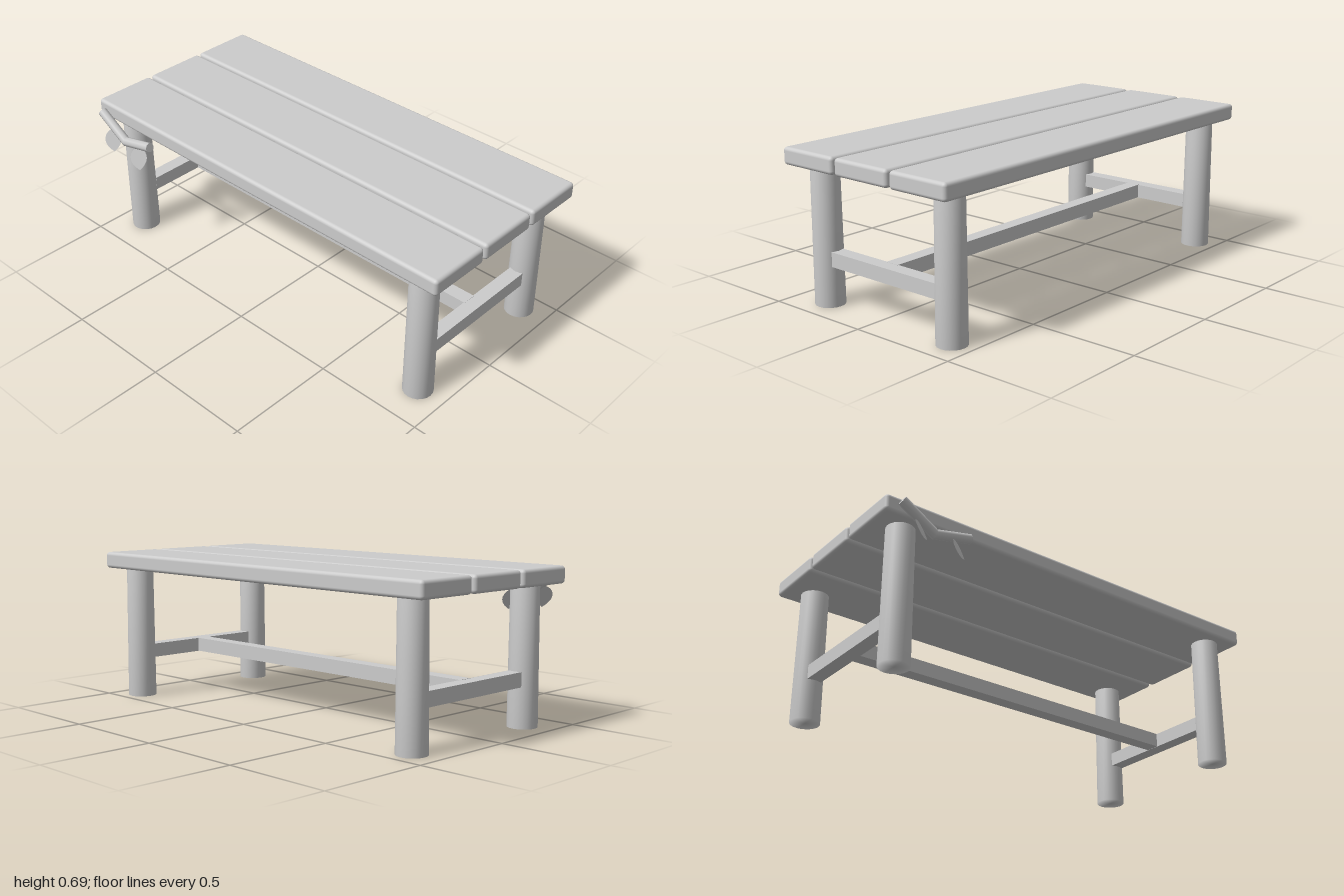
import * as THREE from 'three';
import { mergeVertices } from 'three/addons/utils/BufferGeometryUtils.js';
import { RoundedBoxGeometry } from 'three/addons/geometries/RoundedBoxGeometry.js';

const wood = new THREE.MeshStandardMaterial({ color: 0xcccccc });
wood.name = 'pale wood';
const leafMaterial = new THREE.MeshStandardMaterial({ color: 0xcccccc, side: THREE.DoubleSide });
leafMaterial.name = 'pale leaf';

// Weld all corners so that shading rolls over the rims
function softened(geometry) {
  geometry.deleteAttribute('normal');
  geometry.deleteAttribute('uv');
  const welded = mergeVertices(geometry, 1e-4);
  welded.computeVertexNormals();
  return welded;
}

export function createModel() {
  const group = new THREE.Group();
  const add = (name, geometry, x, y, z, material = wood) => {
    const mesh = new THREE.Mesh(geometry, material);
    mesh.name = name;
    mesh.position.set(x, y, z);
    group.add(mesh);
    return mesh;
  };

  // Table top: three rounded planks
  const plank = new RoundedBoxGeometry(2, 0.076, 0.298, 3, 0.016);
  for (const z of [-0.351, -0.04, 0.271]) add('plank', plank, 0, 0.652, z);

  // Round legs, slightly wider at the foot, with a cross bar at each end
  const leg = softened(new THREE.CylinderGeometry(0.062, 0.066, 0.62, 20));
  const crossBar = new THREE.BoxGeometry(0.065, 0.065, 0.6);
  for (const side of [-1, 1]) {
    add('frontLeg', leg, side * 0.867, 0.31, 0.317);
    add('backLeg', leg, side * 0.867, 0.31, -0.396);
    add('crossBar', crossBar, side * 0.867, 0.213, -0.04);
  }
  add('longStretcher', new THREE.BoxGeometry(1.68, 0.065, 0.065), 0, 0.214, -0.04);

  // Bent twig on the front edge, made of two mitred lengths
  const bend = new THREE.Vector3(-0.785, 0.56, 0.449);
  const ends = [new THREE.Vector3(-0.943, 0.657, 0.449), new THREE.Vector3(-0.614, 0.6, 0.449)];
  const mitre = ends.map((e) => e.clone().sub(bend).normalize());
  const cut = mitre[0].clone().sub(mitre[1]).normalize();
  ends.forEach((end, i) => {
    const dir = mitre[i];
    const geometry = new THREE.CylinderGeometry(0.022, 0.022, end.distanceTo(bend), 8);
    geometry.applyQuaternion(new THREE.Quaternion().setFromUnitVectors(new THREE.Vector3(0, 1, 0), dir));
    const middle = end.clone().add(bend).multiplyScalar(0.5);
    geometry.translate(middle.x, middle.y, middle.z);
    // Slide the inner ring along the twig onto the mitre plane
    const p = geometry.attributes.position;
    const v = new THREE.Vector3();
    for (let k = 0; k < p.count; k++) {
      v.fromBufferAttribute(p, k).sub(bend);
      if (v.dot(dir) > 0.05) continue;
      v.addScaledVector(dir, -v.dot(cut) / dir.dot(cut)).add(bend);
      p.setXYZ(k, v.x, v.y, v.z);
    }
    add('twig', geometry, 0, 0, 0);
  });

  // Two hanging leaves, turned and tilted outward
  const shape = new THREE.Shape();
  shape.moveTo(0, 0);
  shape.bezierCurveTo(0.034, -0.012, 0.062, -0.062, 0, -0.108);
  shape.bezierCurveTo(-0.062, -0.062, -0.034, -0.012, 0, 0);
  const leaf = new THREE.ShapeGeometry(shape, 8);
  const up = new THREE.Vector3(-0.04, 0.093, -0.03).normalize();
  const across = new THREE.Vector3(0.6, 0, -0.8).normalize();
  const out = across.clone().cross(up).normalize();
  leaf.applyMatrix4(new THREE.Matrix4().makeBasis(out.clone().cross(up).negate(), up, out));
  add('leaf', leaf, -0.702, 0.568, 0.45, leafMaterial);
  add('leaf', leaf, -0.88, 0.592, 0.45, leafMaterial);

  return group;
}
